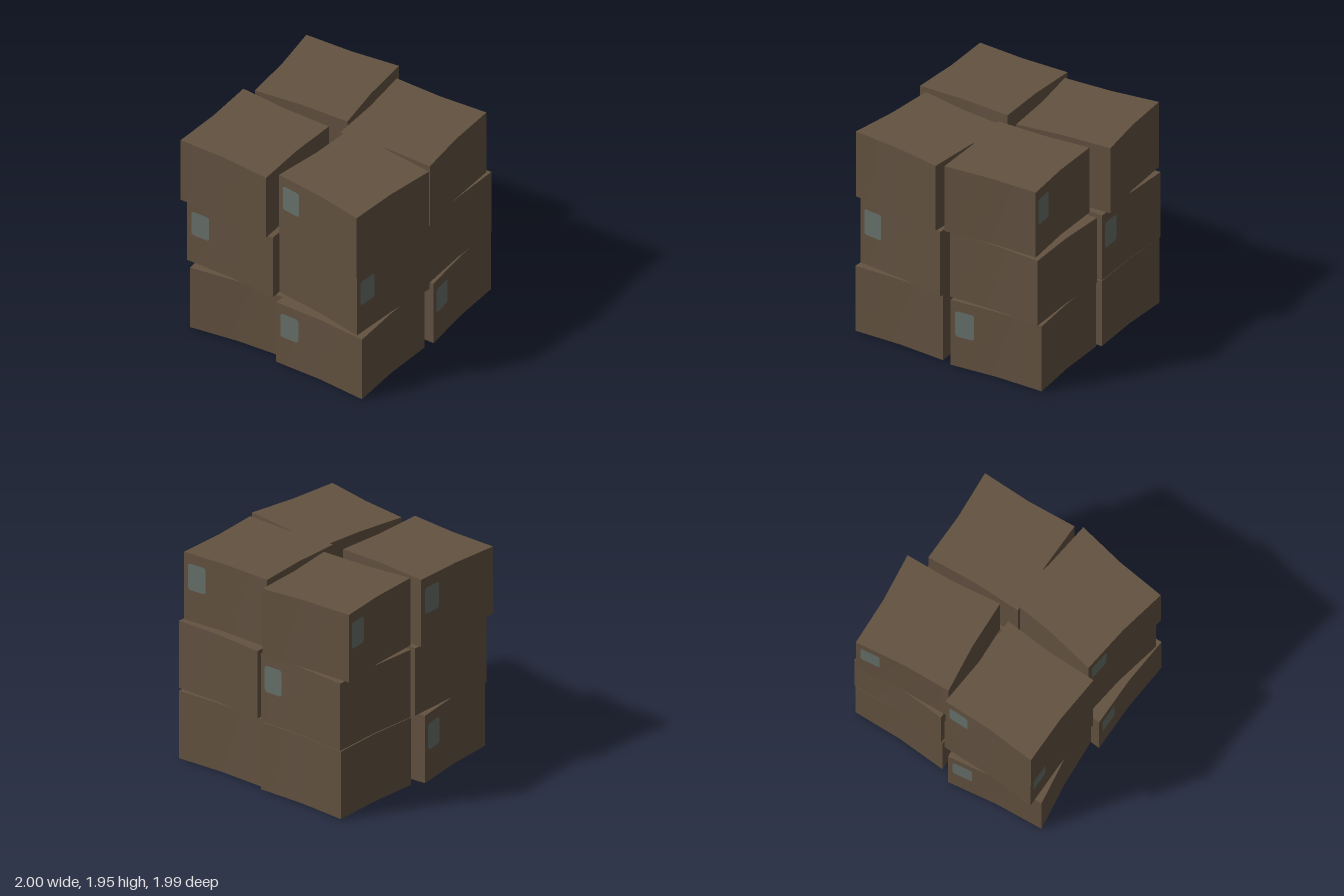
import * as THREE from 'three';

const cardboard = new THREE.MeshStandardMaterial({ color: 0x635240 });
cardboard.name = 'brown cardboard';
const paper = new THREE.MeshStandardMaterial({ color: 0x67716b });
paper.name = 'grey green label';

const SIZE = 0.91, HALF = SIZE / 2, HEIGHT = 0.64;
const DENT = 0.018, BULGE = 0.005;

// Carton: walls pinch in at their middle, top and bottom swell slightly
function cartonGeometry() {
  const geo = new THREE.BoxGeometry(SIZE, HEIGHT, SIZE, 2, 1, 2);
  const p = geo.attributes.position;
  for (let i = 0; i < p.count; i++) {
    const x = p.getX(i), y = p.getY(i), z = p.getZ(i);
    const midX = 1 - Math.abs(x) / HALF, midZ = 1 - Math.abs(z) / HALF;
    p.setXYZ(i,
      x - Math.sign(x) * DENT * midZ,
      y + Math.sign(y) * BULGE * midX * midZ,
      z - Math.sign(z) * DENT * midX);
  }
  geo.computeVertexNormals();
  return geo;
}

// Label: flat rounded rectangle
function labelGeometry(w, h, r) {
  const s = new THREE.Shape();
  const x = w / 2, y = h / 2;
  s.moveTo(-x + r, -y);
  s.lineTo(x - r, -y);
  s.quadraticCurveTo(x, -y, x, -y + r);
  s.lineTo(x, y - r);
  s.quadraticCurveTo(x, y, x - r, y);
  s.lineTo(-x + r, y);
  s.quadraticCurveTo(-x, y, -x, y - r);
  s.lineTo(-x, -y + r);
  s.quadraticCurveTo(-x, -y, -x + r, -y);
  return new THREE.ShapeGeometry(s, 6);
}

// Which wall carries the label, as a turn about y
const FRONT = 0, LEFT = Math.PI / 2, BACK = Math.PI, RIGHT = -Math.PI / 2;

// Three layers of four cartons: [x, z, turn, label wall]
const LAYERS = [
  [
    [-0.483, 0.472, 0.14, RIGHT],
    [0.472, 0.495, 0, FRONT],
    [0.473, -0.485, 0.06, LEFT],
    [-0.485, -0.487, 0.02, LEFT],
  ],
  [
    [-0.493, 0.468, 0, FRONT],
    [0.47, 0.43, -0.125, LEFT],
    [0.47, -0.485, 0, RIGHT],
    [-0.488, -0.494, 0.012, BACK],
  ],
  [
    [-0.533, 0.506, -0.004, RIGHT],
    [0.49, 0.465, -0.121, FRONT],
    [0.475, -0.42, 0.066, BACK],
    [-0.495, -0.493, 0.121, RIGHT],
  ],
];

export function createModel() {
  const model = new THREE.Group();
  model.name = 'cartonStack';
  const boxGeo = cartonGeometry();
  const labelGeo = labelGeometry(0.185, 0.25, 0.03);
  const labelX = -0.317;

  LAYERS.forEach((layer, level) => {
    for (const [x, z, turn, wall] of layer) {
      const carton = new THREE.Group();
      carton.name = 'carton';
      carton.position.set(x, 0.325 + 0.65 * level, z);
      carton.rotation.y = turn;

      const box = new THREE.Mesh(boxGeo, cardboard);
      box.name = 'cartonBody';
      carton.add(box);

      // Label follows the slope of the pinched wall
      const side = new THREE.Group();
      side.name = 'labelWall';
      side.rotation.y = wall;
      const label = new THREE.Mesh(labelGeo, paper);
      label.name = 'label';
      label.position.set(labelX, 0.1, HALF - DENT * (1 + labelX / HALF) + 0.003);
      label.rotation.y = Math.atan(DENT / HALF);
      side.add(label);
      carton.add(side);
      model.add(carton);
    }
  });
  return model;
}
